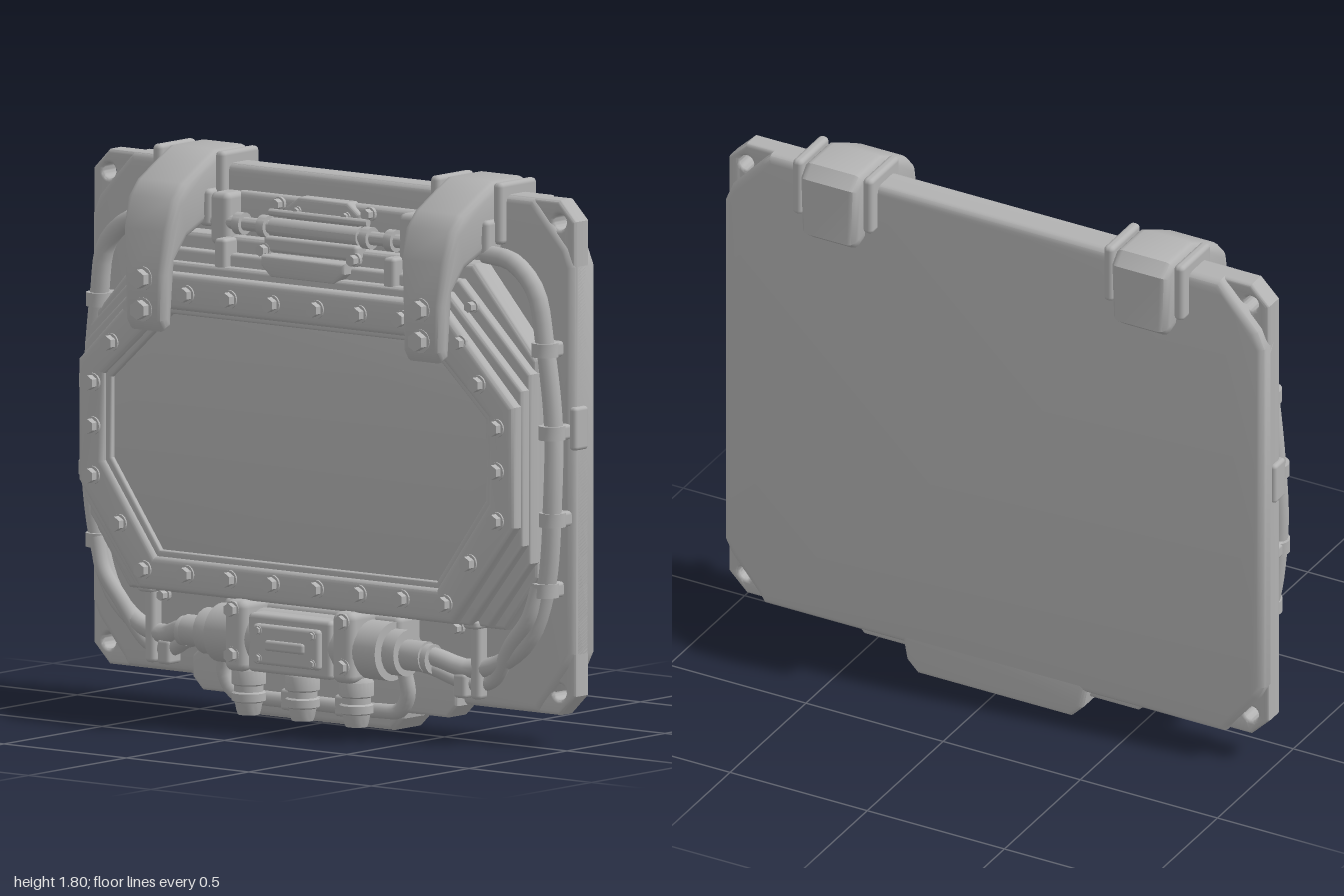
import * as THREE from 'three';
import { toCreasedNormals } from 'three/addons/utils/BufferGeometryUtils.js';
import { RoundedBoxGeometry } from 'three/addons/geometries/RoundedBoxGeometry.js';

export function createModel() {
  const root = new THREE.Group();
  root.name = 'armouredHatch';
  const grey = new THREE.MeshStandardMaterial({ color: 0xb2b2b2 });
  grey.name = 'plain grey';

  const add = (name, geo, x = 0, y = 0, z = 0) => {
    const m = new THREE.Mesh(geo, grey);
    m.name = name;
    m.position.set(x, y, z);
    root.add(m);
    return m;
  };
  const both = (fn) => [-1, 1].forEach(fn);
  const box = (name, w, h, d, x, y, z, r = 0.012) =>
    add(name, new RoundedBoxGeometry(w, h, d, 2, Math.min(r, w / 2.1, h / 2.1, d / 2.1)), x, y, z);
  const rod = (name, r, len, axis, x, y, z, sides = 20) => {
    const m = add(name, toCreasedNormals(new THREE.CylinderGeometry(r, r, len, sides), 0.6), x, y, z);
    if (axis === 'x') m.rotation.z = Math.PI / 2;
    if (axis === 'z') m.rotation.x = Math.PI / 2;
    return m;
  };
  // Mirrors a right-hand outline listed from bottom to top
  const mirrored = (pts) => [...pts, ...pts.map(([x, y]) => [-x, y]).reverse()];
  const octagon = (x, y0, y1, xt, yt, xb, yb) => mirrored([[xb, y0], [x, yb], [x, yt], [xt, y1]]);
  const toVectors = (pts) => pts.map(([x, y]) => new THREE.Vector2(x, y));
  // Bevelled slab between two depths
  const slabGeo = (pts, z0, z1, b, holes = []) => {
    const shape = new THREE.Shape(toVectors(pts));
    holes.forEach((h) => shape.holes.push(h));
    const geo = new THREE.ExtrudeGeometry(shape, {
      depth: z1 - z0 - 2 * b, bevelEnabled: true, bevelThickness: b, bevelSize: b,
      bevelOffset: -b, bevelSegments: 3, curveSegments: 16,
    });
    geo.translate(0, 0, z0 + b);
    return geo;
  };
  const slab = (name, ...args) => add(name, toCreasedNormals(slabGeo(...args), 0.6));
  const hose = (name, pts, r) => {
    const curve = new THREE.CatmullRomCurve3(pts.map((p) => new THREE.Vector3(...p)));
    return add(name, new THREE.TubeGeometry(curve, 48, r, 12));
  };
  // Hexagonal bolt with a washer, facing forward
  const bolt = (x, y, z, r = 0.024, h = 0.03) => {
    rod('boltWasher', r * 1.25, 0.012, 'z', x, y, z, 16);
    rod('boltHead', r, h, 'z', x, y, z + h / 2, 6);
  };

  // Back plate: thick body with cut corners, thinner tabs carrying the mounting holes
  slab('backPlate', mirrored([[0.84, 0.1], [0.86, 0.13], [0.96, 0.25], [0.985, 0.3], [0.985, 1.55], [0.96, 1.61],
    [0.85, 1.73], [0.82, 1.76]]), -0.17, -0.05, 0.025);
  const holes = [];
  both((s) => [0.175, 1.69].forEach((y) => holes.push(new THREE.Path().absarc(s * 0.92, y, 0.025, 0, Math.PI * 2, true))));
  slab('cornerTabs', mirrored([[0.92, 0.1], [0.985, 0.165], [0.985, 1.695], [0.92, 1.76]]), -0.135, -0.06, 0.012, holes);
  slab('bottomSkirt', mirrored([[0.28, 0], [0.32, 0.04], [0.35, 0.2]]), -0.17, 0, 0.02);
  slab('bottomLip', mirrored([[0.5, 0.06], [0.54, 0.1], [0.54, 0.17], [0.46, 0.24]]), -0.12, -0.01, 0.012);

  // Stepped housing, whose corners form diagonal ridges
  slab('housingLowerTier', octagon(0.9, 0.37, 1.54, 0.64, 1.25, 0.77, 0.55), -0.07, 0.03, 0.015);
  slab('housingMiddleTier', octagon(0.9, 0.38, 1.49, 0.61, 1.21, 0.73, 0.6), 0, 0.065, 0.012);
  slab('housingUpperTier', octagon(0.895, 0.385, 1.45, 0.59, 1.16, 0.68, 0.66), 0.04, 0.1, 0.012);

  // Window frame and recessed panel
  const inner = new THREE.Path(toVectors(octagon(0.785, 0.5, 1.3, 0.53, 1.07, 0.575, 0.79)));
  slab('windowFrame', octagon(0.89, 0.39, 1.42, 0.58, 1.11, 0.64, 0.72), 0.07, 0.14, 0.02, [inner]);
  const lip = new THREE.Path(toVectors(octagon(0.765, 0.52, 1.285, 0.52, 1.06, 0.565, 0.8)));
  slab('windowLip', octagon(0.8, 0.49, 1.31, 0.54, 1.08, 0.58, 0.78), 0.08, 0.122, 0.008, [lip]);
  slab('windowPanel', octagon(0.79, 0.495, 1.31, 0.535, 1.075, 0.58, 0.785), 0.07, 0.105, 0.004);

  // Frame bolts
  both((s) => {
    [0.09, 0.265, 0.44].forEach((x) => bolt(s * x, 1.357, 0.14));
    [0.09, 0.265, 0.44, 0.615].forEach((x) => bolt(s * x, 0.455, 0.14));
    [1.04, 0.9, 0.74].forEach((y) => bolt(s * 0.825, y, 0.14));
    bolt(s * 0.75, 1.175, 0.14);
    bolt(s * 0.67, 1.3, 0.13, 0.02);
    bolt(s * 0.67, 1.41, 0.065, 0.017);
    bolt(s * 0.715, 0.595, 0.14);
  });

  // Hooked clamps over the top edge, tapering toward the lower tip
  const hook = [[-0.24, 1.56], [-0.24, 1.76], [-0.2, 1.8], [-0.05, 1.8], [0.02, 1.765], [0.12, 1.71], [0.165, 1.66],
    [0.195, 1.56], [0.208, 1.42], [0.208, 1.27], [0.185, 1.235], [0.15, 1.25], [0.14, 1.46], [0.09, 1.53], [0, 1.57],
    [-0.06, 1.57], [-0.2, 1.53]];
  both((s) => {
    const geo = slabGeo(hook.map(([z, y]) => [-z, y]), -0.105, 0.105, 0.028);
    geo.rotateY(Math.PI / 2);
    const p = geo.attributes.position;
    for (let i = 0; i < p.count; i++) {
      const t = THREE.MathUtils.smoothstep(p.getY(i), 1.35, 1.66);
      p.setX(i, p.getX(i) * (0.74 + 0.26 * t));
    }
    geo.rotateY(Math.PI);
    geo.scale(1, 1, 1);
    // The turn above keeps corner order; depth is restored by the sign in the profile
    geo.rotateY(Math.PI);
    const facing = geo.boundingBox || (geo.computeBoundingBox(), geo.boundingBox);
    if (facing.max.z < 0.2) geo.rotateY(Math.PI);
    add('clamp', toCreasedNormals(geo, 0.7), s * 0.567);
    both((e) => {
      box('clampCollar', 0.036, 0.2, 0.19, s * 0.567 + e * 0.128, 1.7, -0.115, 0.015);
      box('clampCollarFoot', 0.045, 0.12, 0.08, s * 0.567 + e * 0.1, 1.62, -0.02, 0.015);
    });
    [1.405, 1.305].forEach((y) => bolt(s * 0.567, y, 0.205, 0.031, 0.033));
  });

  // Upper mechanism: cross rods, brackets and handle
  slab('upperBulge', mirrored([[0.44, 1.42], [0.44, 1.6], [0.36, 1.68]]), -0.07, -0.02, 0.02);
  rod('crossRod', 0.022, 0.84, 'x', 0, 1.585, 0.025);
  rod('thinCrossRod', 0.012, 0.4, 'x', 0, 1.63, 0.015);
  rod('rodSleeve', 0.031, 0.36, 'x', 0, 1.585, 0.025);
  slab('handle', mirrored([[0.13, 1.435], [0.17, 1.47], [0.17, 1.505]]), 0.03, 0.105, 0.012);
  box('handleBridge', 0.38, 0.05, 0.06, 0, 1.535, 0.035);
  slab('upperHatch', mirrored([[0.15, 1.61], [0.15, 1.65], [0.1, 1.685]]), -0.06, 0, 0.01);
  both((s) => {
    box('rodBracket', 0.075, 0.17, 0.1, s * 0.385, 1.595, 0.0, 0.02);
    rod('rodCollar', 0.036, 0.03, 'x', s * 0.31, 1.585, 0.025);
    rod('rodCollar', 0.036, 0.03, 'x', s * 0.21, 1.585, 0.025);
    box('handleSupport', 0.045, 0.13, 0.07, s * 0.345, 1.475, 0.06, 0.012);
    bolt(s * 0.185, 1.655, -0.015, 0.018);
    bolt(s * 0.185, 1.515, 0.06, 0.018);
    bolt(s * 0.1, 1.64, 0, 0.013, 0.018);
  });

  // Side hoses with clips and plate lugs
  both((s) => {
    const path = (pts) => pts.map(([x, y, z]) => [s * x, y, z]);
    hose('sideHose', path([[0.66, 1.57, -0.01], [0.78, 1.555, 0], [0.875, 1.47, 0.005], [0.91, 1.3, 0], [0.94, 1.05, -0.005],
      [0.945, 0.8, 0.005], [0.915, 0.52, 0], [0.85, 0.35, 0.005], [0.74, 0.26, 0.015], [0.62, 0.235, 0.03], [0.5, 0.27, 0.07],
      [0.38, 0.27, 0.08]]), 0.031);
    hose('lowerHose', path([[0.9, 0.52, 0.02], [0.87, 0.42, 0.03], [0.8, 0.33, 0.03], [0.7, 0.2, 0.01], [0.6, 0.19, 0.02],
      [0.5, 0.23, 0.06], [0.4, 0.25, 0.08]]), 0.026);
    [[0.91, 1.285], [0.938, 1.02], [0.94, 0.74], [0.912, 0.51]].forEach(([x, y]) => {
      rod('hoseClip', 0.043, 0.045, 'y', s * x, y, 0);
      box('hoseClipFoot', 0.09, 0.05, 0.07, s * (x - 0.01), y, -0.035);
    });
    box('sideLug', 0.03, 0.14, 0.07, s * 0.984, 1.03, -0.08);
    box('hoseStrap', 0.04, 0.26, 0.05, s * 0.665, 0.27, 0.03, 0.014);
    box('hoseStrapTop', 0.06, 0.03, 0.08, s * 0.665, 0.385, 0.04);
    bolt(s * 0.6, 0.365, 0.05, 0.016);
    box('hoseStrapEdge', 0.05, 0.08, 0.07, s * 0.605, 0.18, 0.025);
  });

  // Lower valve unit
  rod('valveBody', 0.095, 0.7, 'x', 0, 0.27, 0.075, 28);
  box('valveBase', 0.72, 0.2, 0.12, 0, 0.28, 0, 0.02);
  box('valveCoverBack', 0.34, 0.19, 0.08, 0, 0.265, 0.13, 0.015);
  box('valveCover', 0.27, 0.13, 0.04, 0, 0.265, 0.17, 0.012);
  box('valveCoverRidge', 0.16, 0.035, 0.03, 0, 0.265, 0.185, 0.01);
  both((s) => {
    box('valveClamp', 0.085, 0.23, 0.15, s * 0.22, 0.28, 0.105, 0.025);
    [0.22, 0.365].forEach((y) => bolt(s * 0.225, y, 0.175, 0.022, 0.025));
    [0.22, 0.31].forEach((y) => bolt(s * 0.11, y, 0.187, 0.012, 0.014));
    rod('valveFlange', 0.075, 0.05, 'x', s * 0.385, 0.27, 0.075);
    rod('valveNozzle', 0.05, 0.1, 'x', s * 0.44, 0.265, 0.075);
    rod('nozzleRing', 0.048, 0.025, 'x', s * 0.5, 0.26, 0.07);
  });

  // Three stepped cups beneath the valve unit
  const cup = toVectors([[0, 0.02], [0.035, 0.02], [0.04, 0.035], [0.045, 0.06], [0.055, 0.065], [0.055, 0.09], [0.047, 0.095],
    [0.047, 0.115], [0.056, 0.12], [0.056, 0.165], [0.046, 0.18], [0, 0.18]]);
  [-0.22, 0, 0.22].forEach((x) => add('valveCup', toCreasedNormals(new THREE.LatheGeometry(cup, 24), 0.6), x, 0, 0.1));
  hose('drainPipe', [[-0.37, 0.2, 0.04], [-0.375, 0.13, 0.03], [-0.34, 0.075, 0.025], [-0.25, 0.065, 0.025], [0, 0.065, 0.025],
    [0.25, 0.065, 0.025], [0.34, 0.075, 0.025], [0.375, 0.13, 0.03], [0.37, 0.2, 0.04]], 0.025);
  [-0.11, 0.11].forEach((x) => box('drainPipeClip', 0.05, 0.07, 0.06, x, 0.07, 0.02));

  return root;
}
